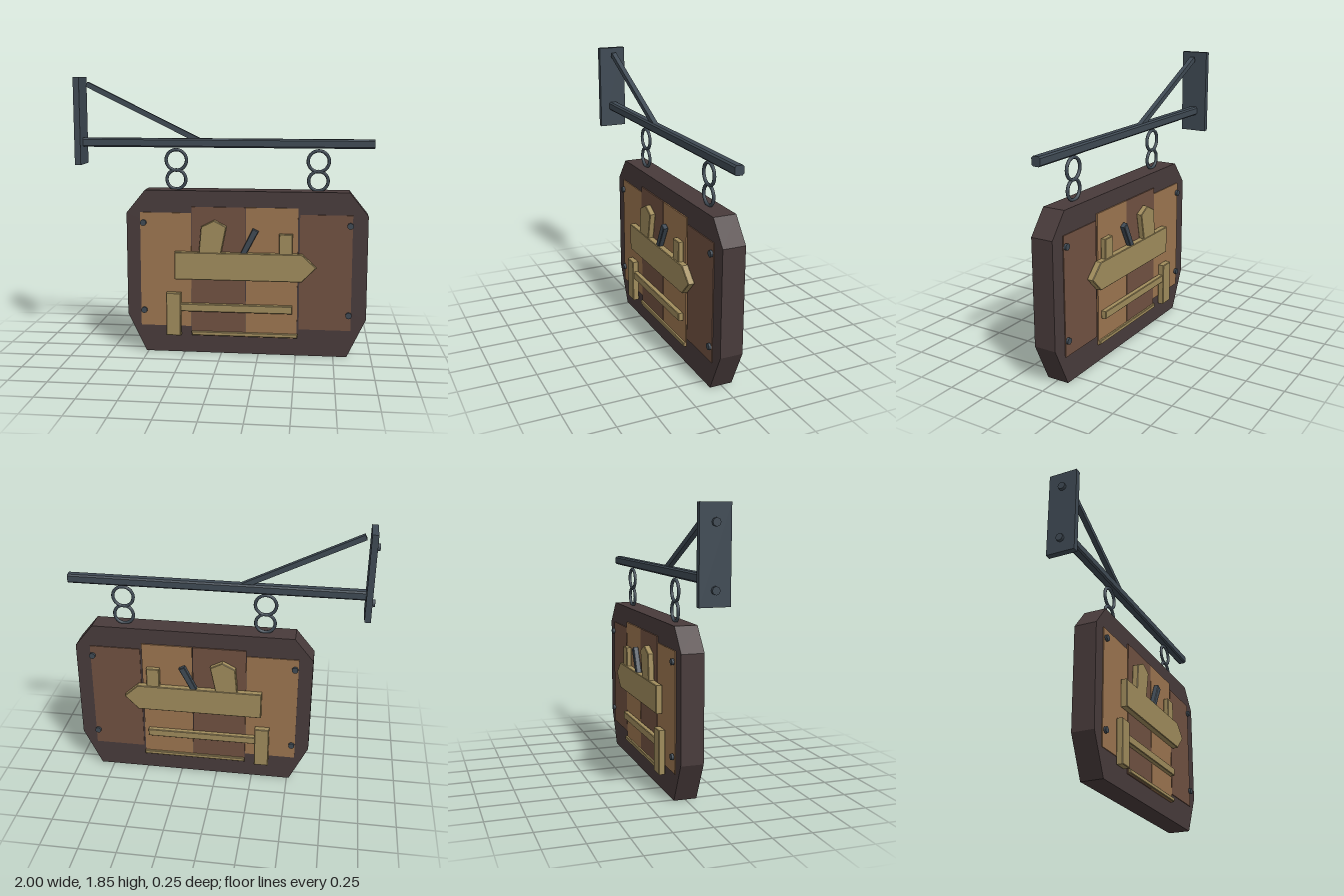
import * as THREE from 'three';

const mat = (name, color) => {
  const m = new THREE.MeshStandardMaterial({ color });
  m.name = name;
  return m;
};

export function createModel() {
  const steel = mat('darkSteel', 0x3f4a54);
  const frameWood = mat('darkFrameWood', 0x483b3b);
  const lightWood = mat('lightPlankWood', 0x9c7550);
  const darkWood = mat('darkPlankWood', 0x705141);
  const carved = mat('carvedWood', 0xa08c5c);

  const root = new THREE.Group();
  root.name = 'hangingSign';

  const add = (parent, name, geometry, material, x = 0, y = 0, z = 0) => {
    const mesh = new THREE.Mesh(geometry, material);
    mesh.name = name;
    mesh.position.set(x, y, z);
    parent.add(mesh);
    return mesh;
  };

  // Flat outline extruded symmetrically about z = 0, with a small chamfer
  const plate = (points, depth, bevel = 0) => {
    const shape = new THREE.Shape(points.map(([x, y]) => new THREE.Vector2(x, y)));
    const geometry = new THREE.ExtrudeGeometry(shape, {
      depth: depth - 2 * bevel, bevelEnabled: bevel > 0, bevelSize: bevel,
      bevelThickness: bevel, bevelOffset: -bevel, bevelSegments: 1,
    });
    return geometry.translate(0, 0, bevel - depth / 2);
  };
  const rect = (x0, x1, y0, y1) => [[x0, y0], [x1, y0], [x1, y1], [x0, y1]];

  // Wall bracket
  const bracket = new THREE.Group();
  bracket.name = 'wallBracket';
  root.add(bracket);
  add(bracket, 'wallPlate', new THREE.BoxGeometry(0.04, 0.58, 0.19), steel, -0.96, 1.56, 0);
  for (const y of [1.74, 1.365]) {
    add(bracket, 'wallBolt', new THREE.CylinderGeometry(0.025, 0.025, 0.03, 8), steel, -0.985, y, 0)
      .rotation.z = Math.PI / 2;
  }

  // Horizontal bar with chamfered long edges
  const h = 0.03, c = 0.02;
  const barOutline = [[-h, -c], [-c, -h], [c, -h], [h, -c], [h, c], [c, h], [-c, h], [-h, c]];
  add(bracket, 'horizontalBar', plate(barOutline, 1.95), steel, 0.02, 1.418, 0).rotation.y = Math.PI / 2;

  // Diagonal brace
  const a = new THREE.Vector2(-0.91, 1.803), b = new THREE.Vector2(-0.13, 1.42);
  const brace = add(bracket, 'diagonalBrace', new THREE.BoxGeometry(a.distanceTo(b), 0.034, 0.034), steel,
    (a.x + b.x) / 2, (a.y + b.y) / 2, 0);
  brace.rotation.z = Math.atan2(b.y - a.y, b.x - a.x);

  // Pairs of hanging rings
  for (const x of [-0.312, 0.634]) {
    add(root, 'upperRing', new THREE.TorusGeometry(0.069, 0.011, 8, 28), steel, x, 1.303, 0);
    add(root, 'lowerRing', new THREE.TorusGeometry(0.064, 0.011, 8, 28), steel, x, 1.173, 0);
  }

  // Sign board with cut corners
  add(root, 'signBoard', plate([
    [-0.515, 0], [0.84, 0], [0.963, 0.26], [0.963, 0.953],
    [0.84, 1.107], [-0.515, 1.107], [-0.64, 0.953], [-0.64, 0.26],
  ], 0.15), frameWood);

  // Planks: x range, y range, material
  const planks = [
    [-0.547, -0.203, 0.183, 0.958, lightWood, 0.081],
    [-0.2, 0.16, 0.12, 1.0, darkWood, 0.084],
    [0.165, 0.507, 0.12, 1.0, lightWood, 0.084],
    [0.52, 0.863, 0.183, 0.958, darkWood, 0.081],
  ];

  // Carved shapes: name, outline, centre z, depth, material
  const carvings = [
    ['planeBody', [[-0.31, 0.515], [0.535, 0.515], [0.63, 0.612], [0.535, 0.7], [-0.31, 0.7]], 0.105, 0.044, carved],
    ['planeHandle', [[-0.147, 0.69], [0, 0.69], [0.037, 0.875], [-0.045, 0.917], [-0.131, 0.873]], 0.104, 0.04, carved],
    ['planeBlade', [[0.125, 0.69], [0.168, 0.69], [0.25, 0.847], [0.211, 0.866]], 0.104, 0.036, steel],
    ['planeKnob', rect(0.385, 0.473, 0.69, 0.832), 0.102, 0.036, carved],
    ['malletHead', rect(-0.368, -0.27, 0.127, 0.42), 0.105, 0.044, carved],
    ['malletShaft', rect(-0.275, 0.475, 0.295, 0.347), 0.102, 0.036, carved],
    ['bottomStrip', rect(-0.2, 0.512, 0.125, 0.152), 0.091, 0.018, carved],
  ];

  // Both faces carry the same planks, carvings and nails
  for (const side of [1, -1]) {
    const face = new THREE.Group();
    face.name = side > 0 ? 'frontFace' : 'backFace';
    root.add(face);
    for (const [x0, x1, y0, y1, material, z] of planks) {
      add(face, 'plank', plate(rect(x0, x1, y0, y1), 0.02), material, 0, 0, side * (z - 0.01));
    }
    for (const [name, outline, z, depth, material] of carvings) {
      add(face, name, plate(outline, depth, 0.004), material, 0, 0, side * z);
    }
    for (const x of [-0.524, 0.847]) for (const y of [0.29, 0.89]) {
      add(face, 'nailHead', new THREE.CylinderGeometry(0.021, 0.021, 0.016, 10), steel, x, y, side * 0.093)
        .rotation.x = Math.PI / 2;
      add(face, 'nailShank', new THREE.CylinderGeometry(0.011, 0.011, 0.02, 8), steel, x, y, side * 0.08)
        .rotation.x = Math.PI / 2;
    }
  }
  return root;
}
